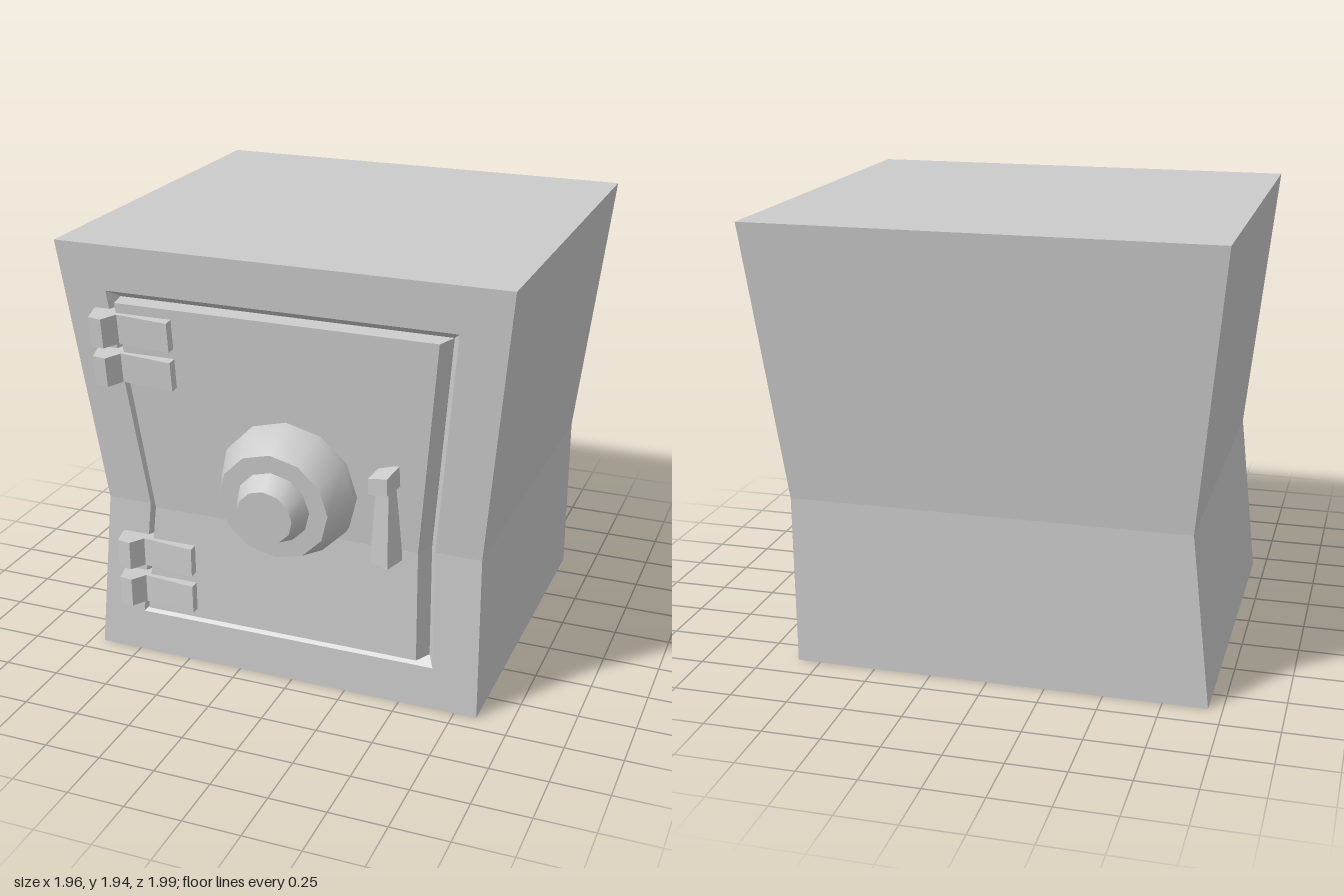
import * as THREE from 'three';
import { toCreasedNormals } from 'three/addons/utils/BufferGeometryUtils.js';

const WAIST = 0.75, TOP = 1.94;
const TILT = Math.atan(0.115 / (TOP - WAIST));

// The upper half of the front and back leans outward above the waist.
const rise = y => Math.max(0, (y - WAIST) / (TOP - WAIST));
const frontZ = y => 0.67 + 0.115 * rise(y);
const backZ = y => -0.88 - 0.12 * rise(y);

// Joins rings of corners (counter-clockwise from the front, back to front).
function loft(rings, capBack, capFront) {
  const pos = [];
  const tri = (a, b, c) => pos.push(...a, ...b, ...c);
  const n = rings[0].length;
  for (let r = 0; r < rings.length - 1; r++) {
    const a = rings[r], b = rings[r + 1];
    for (let i = 0; i < n; i++) {
      const j = (i + 1) % n;
      tri(a[i], a[j], b[j]);
      tri(a[i], b[j], b[i]);
    }
  }
  const first = rings[0], last = rings[rings.length - 1];
  for (let i = 0; i < n - 2; i++) {
    if (capBack) tri(first[n - 1], first[i + 1], first[i]);
    if (capFront) tri(last[n - 1], last[i], last[i + 1]);
  }
  const g = new THREE.BufferGeometry();
  g.setAttribute('position', new THREE.Float32BufferAttribute(pos, 3));
  g.computeVertexNormals();
  return g;
}

// Six-cornered outline, bent at the waist; each level is [left x, right x].
function outline(y0, y1, bottom, waist, top, zAt) {
  return [
    [bottom[0], y0], [bottom[1], y0], [waist[1], WAIST],
    [top[1], y1], [top[0], y1], [waist[0], WAIST],
  ].map(([x, y]) => [x, y, zAt(y)]);
}

const atZ = (z, points) => points.map(([x, y, dz = 0]) => [x, y, z + dz]);

export function createModel() {
  const model = new THREE.Group();
  const flat = new THREE.MeshStandardMaterial({ color: 0xcccccc, flatShading: true });
  const smooth = new THREE.MeshStandardMaterial({ color: 0xcccccc });
  const add = (name, geometry, material = flat, parent = model) => {
    const mesh = new THREE.Mesh(geometry, material);
    mesh.name = name;
    parent.add(mesh);
    return mesh;
  };

  // Body with a bevelled recess around the door
  const shell = [[-0.94, 0.85], [-0.86, 0.85], [-0.98, 0.975]];
  const recess = outline(0.235, 1.705, [-0.69, 0.62], [-0.635, 0.62], [-0.725, 0.72], y => frontZ(y) - 0.05);
  add('body', loft([
    outline(0, TOP, ...shell, backZ),
    outline(0, TOP, ...shell, frontZ),
    outline(0.2, 1.74, [-0.72, 0.65], [-0.66, 0.65], [-0.765, 0.755], frontZ),
    recess,
  ], true, false));

  // Door panel standing slightly proud of the front
  add('door', loft([
    recess,
    outline(0.24, 1.7, [-0.68, 0.585], [-0.62, 0.585], [-0.715, 0.685], y => frontZ(y) + 0.028),
  ], false, true));

  // Hinges: knuckle and strap in one profile, extruded along the height
  const profile = new THREE.Shape([
    [-0.82, -0.04], [-0.82, 0.02], [-0.8, 0.1], [-0.74, 0.108], [-0.7, 0.045],
    [-0.46, 0.07], [-0.46, -0.04],
  ].map(([x, z]) => new THREE.Vector2(x, -z)));
  const hingeHeight = 0.13;
  const hingeGeometry = new THREE.ExtrudeGeometry(profile, { depth: hingeHeight, bevelEnabled: false });
  hingeGeometry.translate(0, 0, -hingeHeight / 2);
  hingeGeometry.rotateX(-Math.PI / 2);
  for (const [y, dx] of [[1.595, 0], [1.42, 0], [0.53, 0.023], [0.348, 0.023]]) {
    const hinge = add('hinge', hingeGeometry);
    hinge.position.set(dx, y, frontZ(y));
    hinge.rotation.x = y > WAIST ? TILT : 0;
  }

  // Twelve-sided dial with a stepped centre knob
  const dialProfile = [
    [0.3, -0.02], [0.3, 0.065], [0.24, 0.205], [0.16, 0.205], [0.12, 0.292], [0, 0.292],
  ].map(([r, h]) => new THREE.Vector2(r, h));
  const dial = add('dial', toCreasedNormals(new THREE.LatheGeometry(dialProfile, 12), 0.65), smooth);
  dial.position.set(0.025, 0.968, frontZ(0.968));
  dial.rotation.x = Math.PI / 2 + TILT;

  // Handle: tapered lever with a knob on its upper end
  const handle = new THREE.Group();
  handle.name = 'handle';
  model.add(handle);
  add('lever', loft([
    atZ(0.67, [[0.42, 0.7], [0.52, 0.7], [0.5, 1.06], [0.44, 1.06]]),
    atZ(0.8, [[0.42, 0.735, 0.02], [0.495, 0.715, 0.02], [0.49, 1.06], [0.435, 1.06]]),
  ], true, true), flat, handle);
  add('handleKnob', loft([
    atZ(0.69, [[0.425, 1.06], [0.52, 1.05], [0.52, 1.15], [0.425, 1.12]]),
    atZ(0.835, [[0.415, 1.045], [0.495, 1.05], [0.495, 1.125], [0.415, 1.115]]),
  ], true, true), flat, handle);

  return model;
}
